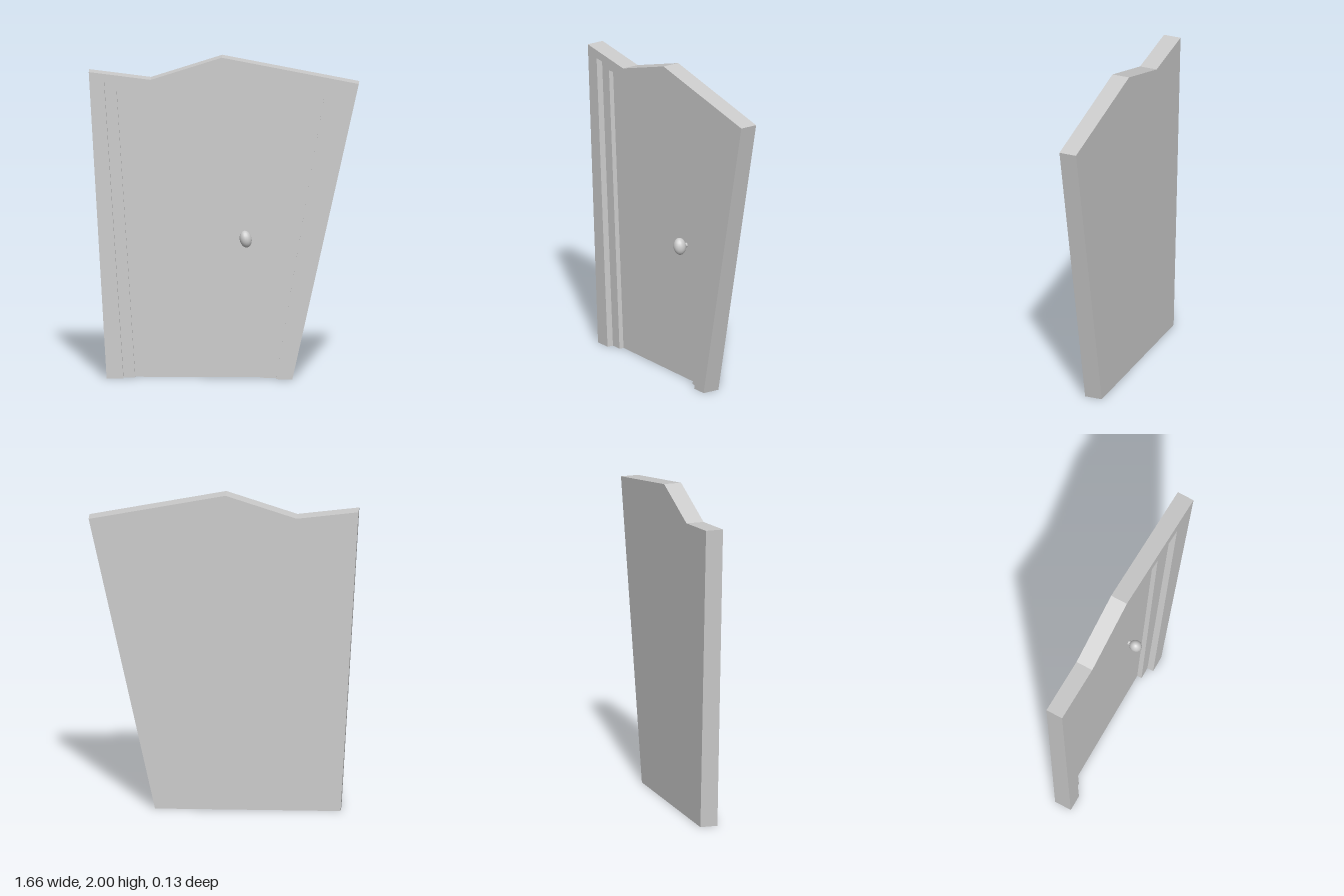
import * as THREE from 'three';

// Outlines run from the bottom right, over the top, to the bottom left
const OUTER = [[-0.72, 0], [-0.83, 1.907], [-0.45, 1.86], [-0.013, 2], [0.828, 1.84], [0.42, 0]];
const MIDDLE = [[-0.617, 0], [-0.736, 1.844], [-0.44, 1.822], [0.01, 1.923], [0.06, 1.918], [0.62, 1.787], [0.318, 0]];
const INNER = [[-0.546, 0], [-0.66, 1.78], [-0.414, 1.78], [0.015, 1.836], [0.066, 1.833], [0.459, 1.706], [0.243, 0]];

export function createModel() {
  const door = new THREE.Group();
  door.name = 'crookedDoor';
  const material = new THREE.MeshStandardMaterial({ color: 0xcccccc });

  const add = (name, geometry, parent = door) => {
    const mesh = new THREE.Mesh(geometry, material);
    mesh.name = name;
    parent.add(mesh);
    return mesh;
  };

  // Extrudes an outline between two depths
  const layer = (name, points, back, front) => {
    const shape = new THREE.Shape(points.map(([x, y]) => new THREE.Vector2(x, y)));
    const geometry = new THREE.ExtrudeGeometry(shape, { depth: front - back, bevelEnabled: false });
    add(name, geometry.translate(0, 0, back));
  };

  // An arch is the outer outline returning along the inner one, open at the floor
  const arch = (outer, inner) => [...outer, ...[...inner].reverse()];

  // Solid door slab, then the stepped surround
  layer('doorPanel', OUTER, -0.065, -0.025);
  layer('innerTrim', arch(OUTER, INNER), -0.025, 0.005);
  layer('outerFrame', arch(OUTER, MIDDLE), 0.005, 0.045);

  // Tilted oval knob on a short stem
  const knob = new THREE.Group();
  knob.name = 'doorKnob';
  knob.position.set(0.133, 0.868, 0.025);
  knob.rotation.z = 0.2;
  door.add(knob);
  add('knobHandle', new THREE.SphereGeometry(1, 16, 12).scale(0.037, 0.053, 0.04), knob);
  const stem = add('knobStem', new THREE.CylinderGeometry(0.015, 0.015, 0.04, 10).rotateX(Math.PI / 2), knob);
  stem.position.z = -0.03;

  return door;
}
